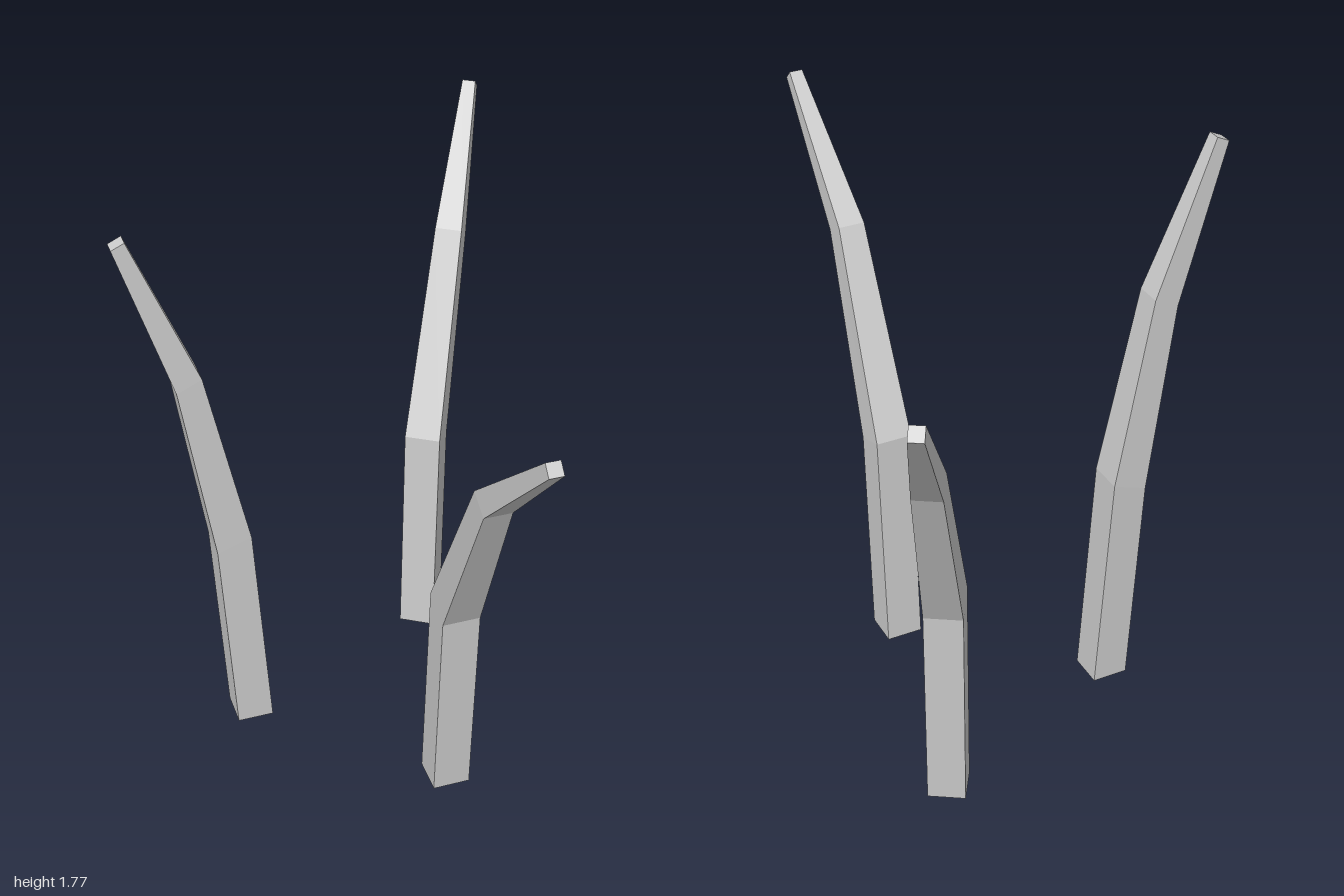
import * as THREE from 'three';

const material = new THREE.MeshStandardMaterial({ color: 0xcccccc, flatShading: true, side: THREE.DoubleSide });

// Each ring: inner radius, inner height, outer radius, outer height, side low, side high.
// Radii run along the lean direction, sides run across it.
const prongs = [
  {
    name: 'rightProng', lean: [-1, 0], rings: [
      [0.29, 0, 0.402, 0, 0.117, 0.228],
      [0.334, 0.727, 0.44, 0.69, 0.117, 0.228],
      [0.455, 1.316, 0.53, 1.28, 0.124, 0.207],
      [0.638, 1.775, 0.677, 1.757, 0.147, 0.188],
    ],
  },
  {
    name: 'frontProng', lean: [0, 1], rings: [
      [0.245, 0, 0.358, 0, -0.2, -0.086],
      [0.289, 0.727, 0.396, 0.69, -0.2, -0.086],
      [0.593, 1.316, 0.665, 1.277, -0.17, -0.088],
      [0.972, 1.667, 1.0, 1.638, -0.155, -0.114],
    ],
  },
  {
    name: 'backLeftProng', lean: [0.53, -0.848], rings: [
      [0.49, 0, 0.602, 0, -0.019, 0.093],
      [0.53, 0.727, 0.636, 0.69, -0.019, 0.093],
      [0.836, 1.316, 0.907, 1.277, 0, 0.083],
      [1.158, 1.667, 1.188, 1.638, 0.009, 0.05],
    ],
  },
];

// Square tube through four rings, open at the foot and capped at the tip
function makeProng({ name, lean: [dx, dz], rings }) {
  const positions = [];
  const index = [];
  const addCorner = (r, y, s) => positions.push(dx * r - dz * s, y, dz * r + dx * s);
  rings.forEach(([ri, yi, ro, yo, lo, hi], k) => {
    addCorner(ri, yi, lo);
    addCorner(ro, yo, lo);
    addCorner(ro, yo, hi);
    addCorner(ri, yi, hi);
    if (k === 0) return;
    for (let i = 0; i < 4; i++) {
      const a = (k - 1) * 4 + i;
      const b = (k - 1) * 4 + (i + 1) % 4;
      index.push(a, a + 4, b + 4, a, b + 4, b);
    }
  });
  const t = (rings.length - 1) * 4;
  index.push(t, t + 3, t + 2, t, t + 2, t + 1);

  const indexed = new THREE.BufferGeometry();
  indexed.setAttribute('position', new THREE.Float32BufferAttribute(positions, 3));
  indexed.setIndex(index);
  const geometry = indexed.toNonIndexed();
  geometry.computeVertexNormals();
  const mesh = new THREE.Mesh(geometry, material);
  mesh.name = name;
  return mesh;
}

export function createModel() {
  const group = new THREE.Group();
  group.name = 'bentProngs';
  prongs.forEach((p) => group.add(makeProng(p)));
  return group;
}
